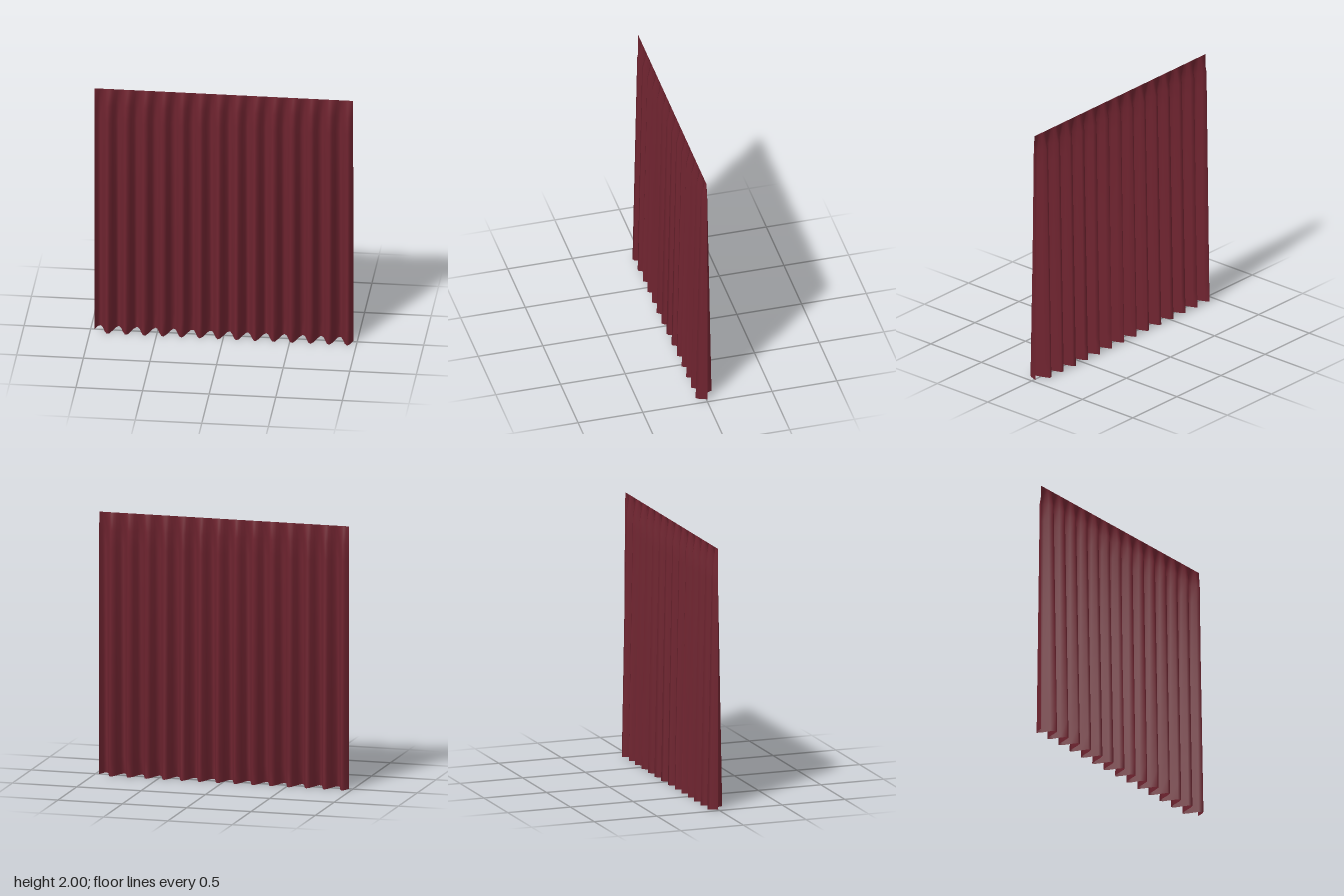
import * as THREE from 'three';

const WIDTH = 1.94;
const HEIGHT = 2;
const PHASE = 88.1; // total wave angle across the cloth, about 14 pleats

// Pleat depth: pinned flat along the top edge, then widening to the hem
function pleatDepth(y) {
  const gathered = 1.867;
  if (y > gathered) return 0.035 * (HEIGHT - y) / (HEIGHT - gathered);
  return THREE.MathUtils.lerp(0.073, 0.035, y / gathered);
}

export function createModel() {
  const group = new THREE.Group();
  group.name = 'curtain';

  const burgundy = new THREE.MeshStandardMaterial({ color: 0x702430, side: THREE.DoubleSide });
  burgundy.name = 'burgundy cloth';

  // Pleated cloth: a flat sheet pushed into a sine wave
  const sheet = new THREE.PlaneGeometry(WIDTH, HEIGHT, 100, 15);
  sheet.translate(0, HEIGHT / 2, 0);
  const pos = sheet.attributes.position;
  for (let i = 0; i < pos.count; i++) {
    const u = pos.getX(i) / WIDTH + 0.5;
    pos.setZ(i, -pleatDepth(pos.getY(i)) * Math.sin(u * PHASE));
  }
  sheet.computeVertexNormals();

  const cloth = new THREE.Mesh(sheet, burgundy);
  cloth.name = 'pleatedCloth';
  group.add(cloth);
  return group;
}
